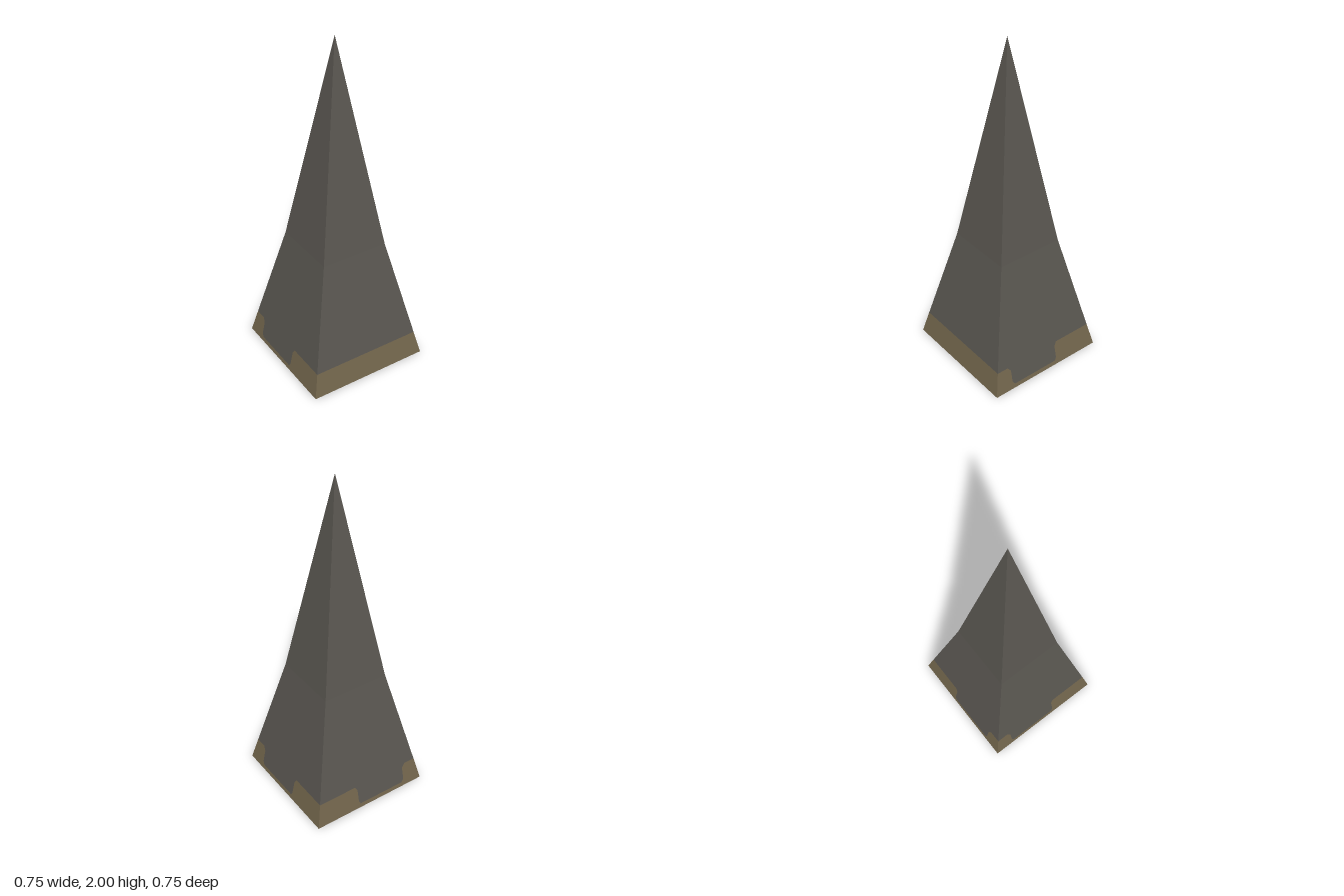
import * as THREE from 'three';

const BASE = 0.373, SHOULDER = 0.205, SHOULDER_Y = 0.76, TOP = 2, BAND = 0.145;

// half width of the spire at height y
function half(y) {
  return y <= SHOULDER_Y
    ? BASE + (SHOULDER - BASE) * (y / SHOULDER_Y)
    : SHOULDER * (TOP - y) / (TOP - SHOULDER_Y);
}

// flat outline (u, y) laid onto the sloping side of the spire
function panel(points, material, name, mirror) {
  const pts = points.map(([u, y]) => new THREE.Vector2(mirror ? -u : u, y));
  const geometry = new THREE.ShapeGeometry(new THREE.Shape(pts));
  const pos = geometry.attributes.position;
  for (let i = 0; i < pos.count; i++) pos.setZ(i, half(pos.getY(i)));
  geometry.computeVertexNormals();
  const mesh = new THREE.Mesh(geometry, material);
  mesh.name = name;
  return mesh;
}

export function createModel() {
  const slate = new THREE.MeshStandardMaterial({ color: 0x595650 });
  slate.name = 'dark slate';
  const trim = new THREE.MeshStandardMaterial({ color: 0x72654c });
  trim.name = 'brown trim';

  const model = new THREE.Group();
  model.name = 'spire';

  const b = half(BAND);
  // notch in the trim band, from its upper left to its upper right
  const notch = [[-0.27, BAND], [-0.25, 0.12], [-0.25, 0.045], [-0.235, 0.025],
    [0.07, 0.025], [0.08, 0.045], [0.08, 0.12], [0.095, BAND]];
  const straight = [[-b, BAND], [b, BAND]];

  const sides = [
    { name: 'front', angle: 0, edge: straight },
    { name: 'left', angle: Math.PI / 2, edge: [[-b, BAND], ...notch, [b, BAND]] },
    { name: 'back', angle: Math.PI, edge: [[-b, BAND], ...notch, [b, BAND]], mirror: true },
    { name: 'right', angle: -Math.PI / 2, edge: [[-b, BAND], ...notch, [b, BAND]] },
  ];

  for (const { name, angle, edge, mirror } of sides) {
    const side = new THREE.Group();
    side.name = name + 'Side';
    side.rotation.y = angle;
    side.add(
      panel([[-SHOULDER, SHOULDER_Y], [SHOULDER, SHOULDER_Y], [0, TOP]], slate, 'upperRoof', mirror),
      panel([...edge, [SHOULDER, SHOULDER_Y], [-SHOULDER, SHOULDER_Y]], slate, 'lowerRoof', mirror),
      panel([[-BASE, 0], [BASE, 0], ...[...edge].reverse()], trim, 'trimBand', mirror),
    );
    model.add(side);
  }

  // underside
  const base = new THREE.Mesh(new THREE.PlaneGeometry(2 * BASE, 2 * BASE), trim);
  base.name = 'underside';
  base.rotation.x = Math.PI / 2;
  model.add(base);

  return model;
}
